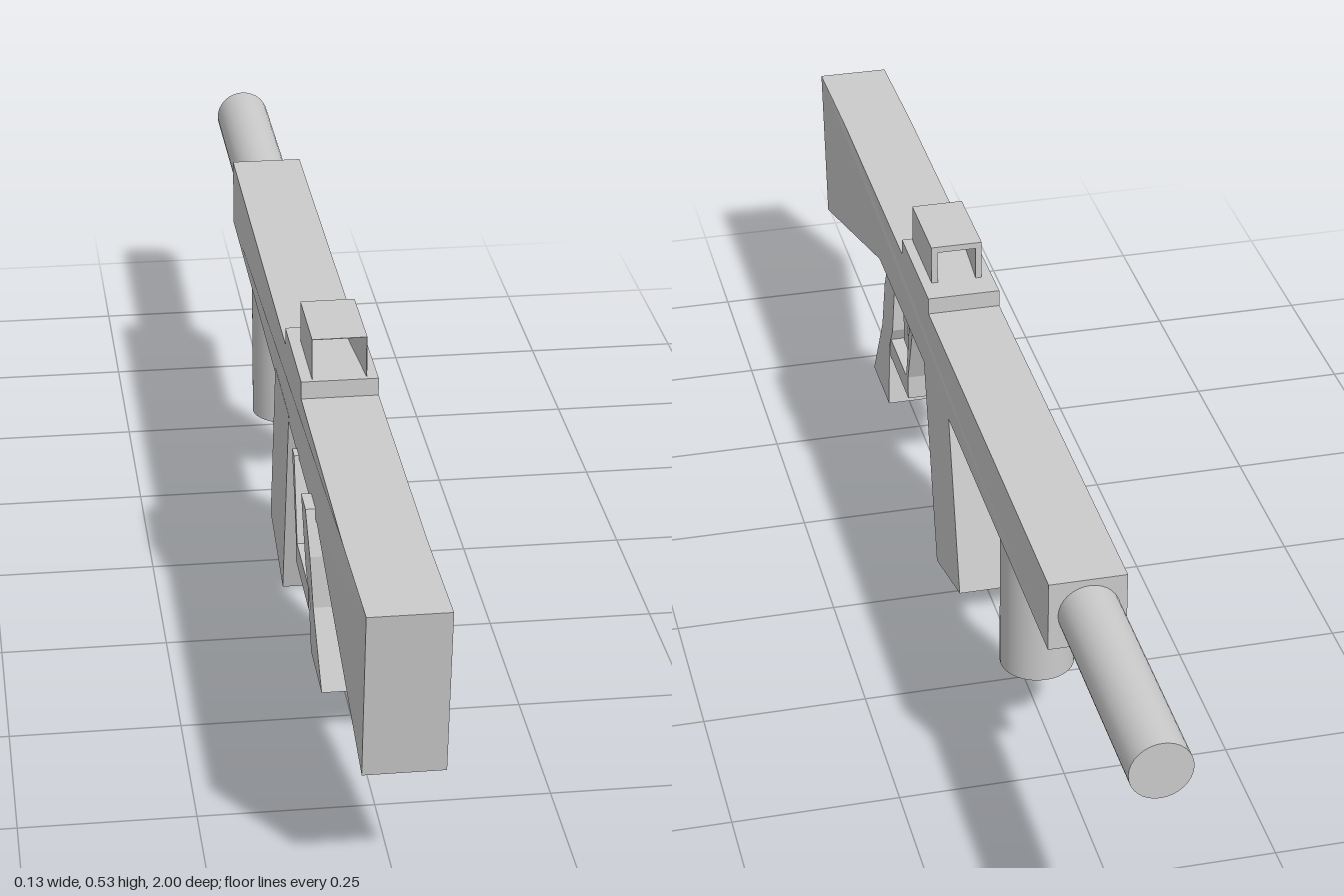
import * as THREE from 'three';

const material = new THREE.MeshStandardMaterial({ color: 0xcccccc, side: THREE.DoubleSide });
const LEFT = 0.061, RIGHT = -0.053;

export function createModel() {
  const group = new THREE.Group();

  const add = (name, geometry) => {
    const mesh = new THREE.Mesh(geometry, material);
    mesh.name = name;
    group.add(mesh);
    return mesh;
  };

  // Side profile given as (z, y) points, extruded across x
  const slab = (points, x0 = RIGHT, x1 = LEFT) => {
    const shape = new THREE.Shape(points.map(([z, y]) => new THREE.Vector2(z, y)));
    const g = new THREE.ExtrudeGeometry(shape, { depth: x1 - x0, bevelEnabled: false });
    return g.rotateY(-Math.PI / 2).translate(x1, 0, 0);
  };

  // Move vertices by a rule and refresh the flat normals
  const deform = (g, rule) => {
    const p = g.attributes.position, v = new THREE.Vector3();
    for (let i = 0; i < p.count; i++) {
      rule(v.fromBufferAttribute(p, i));
      p.setXYZ(i, v.x, v.y, v.z);
    }
    g.computeVertexNormals();
    return g;
  };

  // Receiver and stock in one wedge-ended body, a touch offset at the butt
  add('receiverAndStock', deform(
    slab([[-0.63, 0.33], [0.52, 0.33], [0.97, 0.187], [1, 0.44], [0.8, 0.44], [-0.63, 0.44]]),
    (v) => { if (v.z > 0.85) v.x += 0.003; }));

  // Slanted magazine
  add('magazine', slab([[0.178, 0.34], [0.092, 0.003], [-0.074, 0.05], [0, 0.34]]));

  // Barrel and vertical foregrip
  const barrel = add('barrel', new THREE.CylinderGeometry(0.045, 0.045, 0.38, 32));
  barrel.rotation.x = Math.PI / 2;
  barrel.position.set(0.002, 0.385, -0.81);
  add('foregrip', new THREE.CylinderGeometry(0.056, 0.056, 0.23, 32)).position.set(0.004, 0.22, -0.345);

  // Sight rail
  add('sightBase', slab([[0.333, 0.435], [0.333, 0.467], [0.137, 0.467], [0.137, 0.435]]));

  // Open hood whose inside widens toward the front
  const hood = new THREE.Shape([
    [-0.036, 0.467], [-0.026, 0.467], [-0.026, 0.52], [0.035, 0.52],
    [0.035, 0.467], [0.045, 0.467], [0.045, 0.53], [-0.036, 0.53],
  ].map(([x, y]) => new THREE.Vector2(x, y)));
  add('sightHood', deform(
    new THREE.ExtrudeGeometry(hood, { depth: 0.14, bevelEnabled: false }).translate(0, 0, 0.185),
    (v) => {
      if (v.z < 0.3) return;
      if (Math.abs(v.x + 0.026) < 1e-4) v.x -= 0.009;
      if (Math.abs(v.x - 0.035) < 1e-4) v.x += 0.009;
      if (Math.abs(v.y - 0.52) < 1e-4) v.y += 0.009;
    }));

  // Pistol grip, leaning slightly to one side
  add('pistolGrip', deform(
    slab([[0.5, 0.345], [0.523, 0.28], [0.527, 0.2], [0.575, 0.087], [0.452, 0.087],
      [0.468, 0.19], [0.45, 0.23], [0.45, 0.345]], -0.053, 0.063),
    (v) => { v.x -= (v.y - 0.087) * 0.055; }));

  // Trigger guard: bottom bar and slanted front strut
  add('triggerGuard', slab([[0.48, 0.172], [0.325, 0.172], [0.325, 0.212], [0.28, 0.335],
    [0.305, 0.335], [0.34, 0.207], [0.48, 0.207]], -0.06, 0.056));

  // Trigger with a small forward toe
  add('trigger', slab([[0.43, 0.335], [0.43, 0.223], [0.365, 0.213], [0.395, 0.224], [0.395, 0.335]],
    -0.04, 0.04));

  return group;
}
